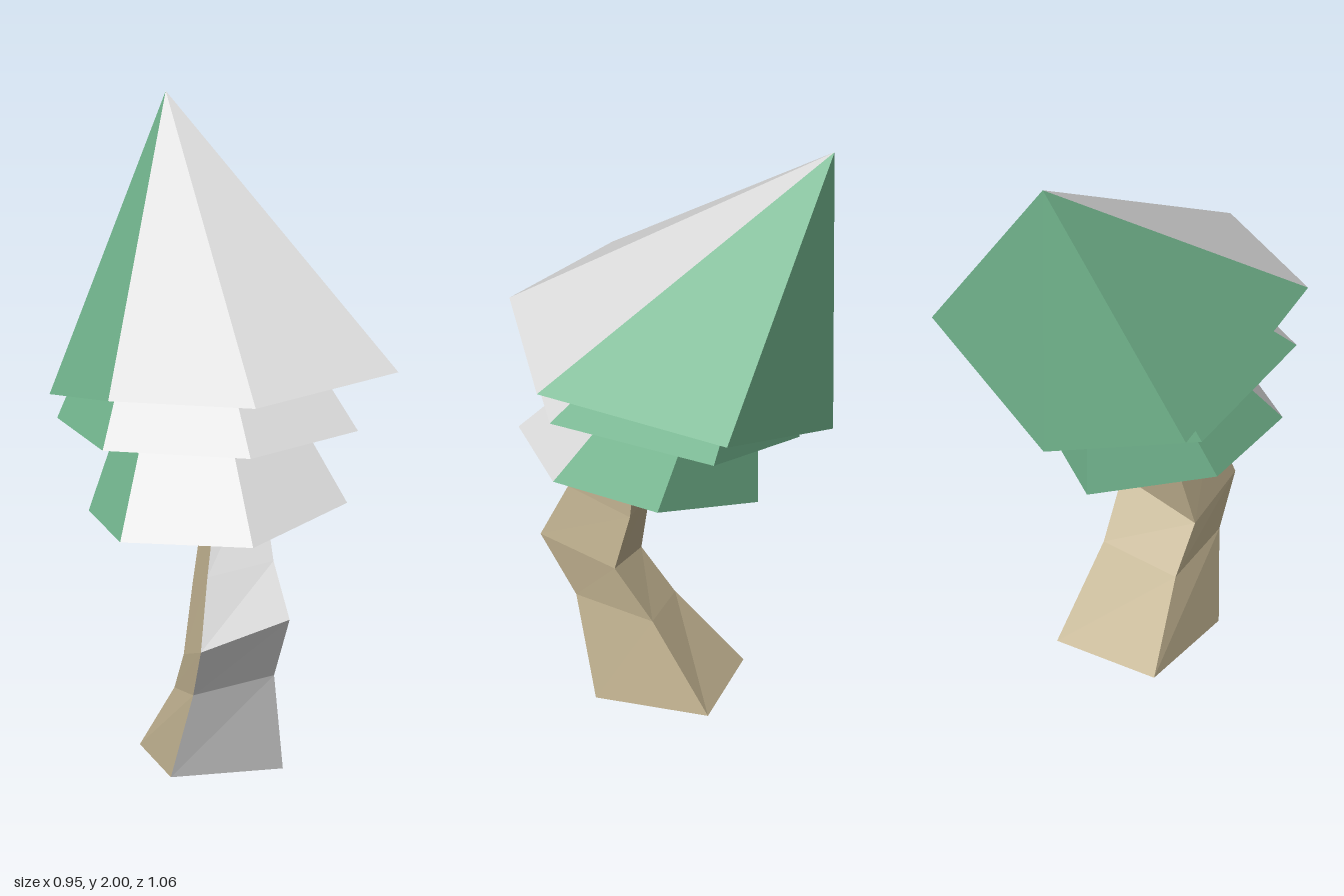
import * as THREE from 'three';

const mat = (name, color) => {
  const m = new THREE.MeshStandardMaterial({ color, side: THREE.DoubleSide, flatShading: true });
  m.name = name;
  return m;
};

// Flat-shaded mesh from a list of [x, y, z] triangle corners
function facets(name, corners, material) {
  const g = new THREE.BufferGeometry();
  g.setAttribute('position', new THREE.Float32BufferAttribute(corners.flat(), 3));
  g.computeVertexNormals();
  const mesh = new THREE.Mesh(g, material);
  mesh.name = name;
  return mesh;
}

// Open leaning cone; rim runs front, right front, right back, back, left back, left front.
// The two faces that meet at the front corner are snowy.
function foliageTier(name, apex, rim, snow, green) {
  const snowy = [], leafy = [];
  rim.forEach((p, i) => {
    const list = i === 0 || i === 5 ? snowy : leafy;
    list.push(p, rim[(i + 1) % 6], apex);
  });
  const tier = new THREE.Group();
  tier.name = name;
  tier.add(facets(name + 'Snow', snowy, snow), facets(name + 'Leaves', leafy, green));
  return tier;
}

// Bent four-sided trunk; each ring runs right front, right back, left back, left front
function trunk(rings, snow, bark) {
  const snowy = [], barky = [];
  for (let r = 0; r < rings.length - 1; r++) {
    for (let i = 0; i < 4; i++) {
      const j = (i + 1) % 4, a = rings[r], b = rings[r + 1];
      (i === 3 ? snowy : barky).push(a[i], a[j], b[j], a[i], b[j], b[i]);
    }
  }
  const [p, q, s, t] = rings[0];
  barky.push(p, s, q, p, t, s);
  const [e, f, g, h] = rings[rings.length - 1];
  barky.push(e, f, g, e, g, h);
  const group = new THREE.Group();
  group.name = 'trunk';
  group.add(facets('trunkSnow', snowy, snow), facets('trunkBark', barky, bark));
  return group;
}

export function createModel() {
  const snow = mat('snow', 0xe0e0e0);
  const green = mat('leaf green', 0x74b890);
  const bark = mat('bark tan', 0xc2b391);

  const tree = new THREE.Group();
  tree.name = 'bentTree';

  tree.add(trunk([
    [[0.125, 0, 0.19], [0.125, 0, -0.175], [-0.235, 0, -0.175], [-0.235, 0, 0.19]],
    [[0.075, 0.33, 0.27], [0.08, 0.28, 0.02], [-0.18, 0.24, 0.03], [-0.185, 0.285, 0.27]],
    [[0.095, 0.54, 0.38], [0.09, 0.455, 0.14], [-0.18, 0.38, 0.14], [-0.185, 0.45, 0.36]],
    [[0.065, 0.71, 0.3], [0.06, 0.63, 0.1], [-0.14, 0.6, 0.1], [-0.145, 0.67, 0.29]],
    [[0.05, 1.0, 0.19], [0.05, 0.97, 0.07], [-0.08, 0.95, 0.07], [-0.08, 0.98, 0.19]],
  ], snow, bark));

  tree.add(
    foliageTier('lowerTier', [-0.055, 1.65, -0.28], [
      [-0.055, 0.82, 0.5], [0.31, 0.87, 0.27], [0.31, 0.82, -0.07],
      [-0.055, 0.69, -0.28], [-0.42, 0.795, -0.1], [-0.42, 0.8, 0.27],
    ], snow, green),
    foliageTier('middleTier', [-0.055, 1.88, -0.415], [
      [-0.055, 1.1, 0.47], [0.345, 1.1, 0.27], [0.345, 1.045, -0.265],
      [-0.055, 0.95, -0.415], [-0.475, 1.05, -0.27], [-0.475, 1.1, 0.265],
    ], snow, green),
    foliageTier('upperTier', [-0.055, 2, -0.53], [
      [-0.055, 1.28, 0.53], [0.475, 1.28, 0.27], [0.475, 1.2, -0.35],
      [-0.055, 1.0, -0.525], [-0.475, 1.1, -0.36], [-0.475, 1.28, 0.33],
    ], snow, green),
  );
  return tree;
}
